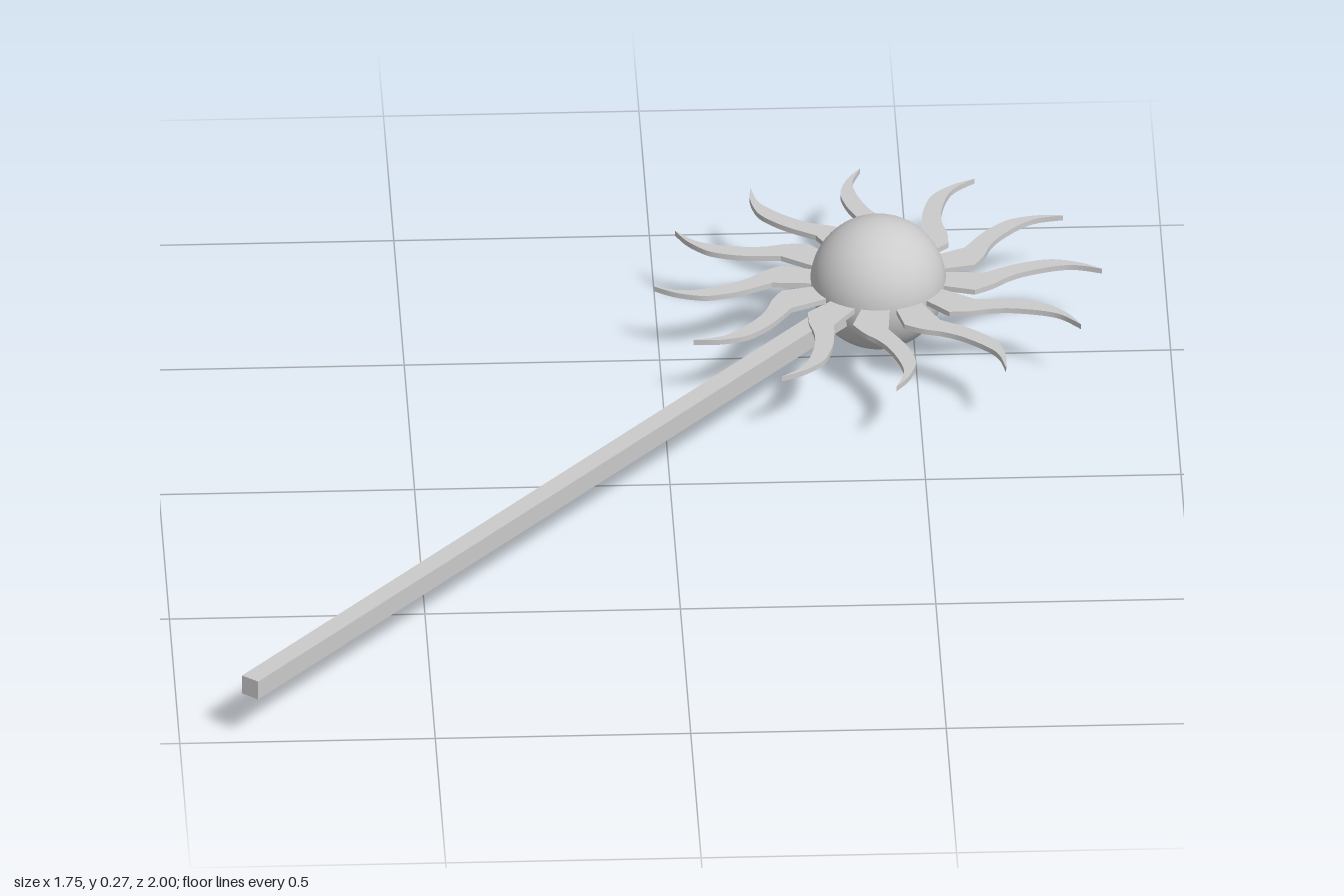
import * as THREE from 'three';

const CENTER = new THREE.Vector3(0.43, 0.133, -0.56);
const RADIUS = 0.133;
const RAYS = 12;

const material = new THREE.MeshStandardMaterial({ color: 0xcccccc });
const vec = ([x, y]) => new THREE.Vector2(x, y);

// Wavy flame outline: x runs sideways, y runs outward from the globe's centre
function rayGeometry() {
  const thickness = 0.011;
  const shape = new THREE.Shape();
  shape.moveTo(-0.02, 0.1);
  shape.lineTo(0.03, 0.1);
  shape.lineTo(0.057, 0.187);
  shape.splineThru([[0.036, 0.222], [0.008, 0.254], [-0.014, 0.293], [-0.032, 0.35], [-0.034, 0.39], [-0.018, 0.439]].map(vec));
  shape.splineThru([[-0.042, 0.403], [-0.056, 0.365], [-0.06, 0.335], [-0.052, 0.295], [-0.038, 0.258], [-0.012, 0.208]].map(vec));
  shape.closePath();
  const geometry = new THREE.ExtrudeGeometry(shape, { depth: thickness, bevelEnabled: false, curveSegments: 12 });
  // Lay flat with the tip toward -z
  geometry.rotateX(-Math.PI / 2);
  geometry.translate(0, -thickness / 2, 0);
  return geometry;
}

export function createModel() {
  const model = new THREE.Group();
  model.name = 'sunStaff';

  // Smooth ball at the head
  const globe = new THREE.Mesh(new THREE.SphereGeometry(RADIUS, 48, 32), material);
  globe.name = 'globe';
  globe.position.copy(CENTER);
  model.add(globe);

  // Ring of flat flame rays
  const rays = new THREE.Group();
  rays.name = 'rays';
  rays.position.set(CENTER.x, 0.136, CENTER.z);
  const geometry = rayGeometry();
  for (let i = 0; i < RAYS; i++) {
    const ray = new THREE.Mesh(geometry, material);
    ray.name = 'ray';
    ray.rotation.y = (i / RAYS) * Math.PI * 2;
    rays.add(ray);
  }
  model.add(rays);

  // Square shaft running from the free end into the globe
  const end = new THREE.Vector3(-0.862, 0.115, 0.987);
  const direction = new THREE.Vector3(CENTER.x - end.x, 0, CENTER.z - end.z).normalize();
  const length = 1.9;
  const shaft = new THREE.Mesh(new THREE.BoxGeometry(0.04, 0.04, length), material);
  shaft.name = 'shaft';
  shaft.position.copy(end).addScaledVector(direction, length / 2);
  shaft.rotation.y = Math.atan2(direction.x, direction.z);
  model.add(shaft);

  return model;
}
